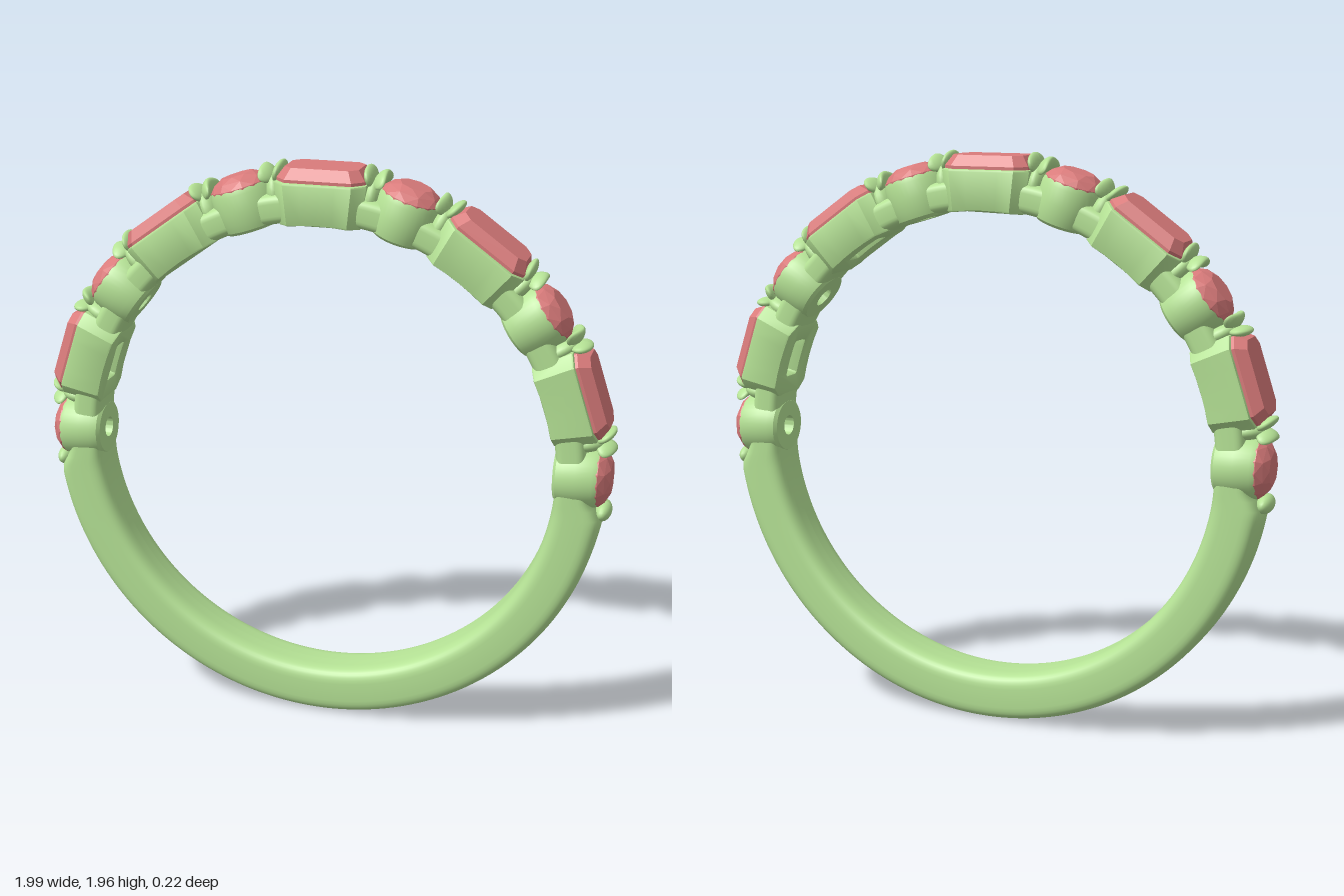
import * as THREE from 'three';
import { toCreasedNormals } from 'three/addons/utils/BufferGeometryUtils.js';
import { ConvexGeometry } from 'three/addons/geometries/ConvexGeometry.js';

const metal = new THREE.MeshStandardMaterial({ color: 0xb5e295 });
const gem = new THREE.MeshStandardMaterial({ color: 0xd97b7b });
const INNER = 0.8, OUTER = 0.967, STEP = 18;
const rad = THREE.MathUtils.degToRad;

// Applies fn(vector) to every vertex
function warp(geo, fn) {
  const p = geo.attributes.position, v = new THREE.Vector3();
  for (let i = 0; i < p.count; i++) {
    fn(v.fromBufferAttribute(p, i));
    p.setXYZ(i, v.x, v.y, v.z);
  }
  geo.computeVertexNormals();
  return geo;
}

// Arc of the band: rounded-square section swept from a0 to a1 (degrees clockwise from the top)
function bandArc(r0, r1, halfW, a0, a1, segs) {
  const pts = [], n = 40;
  const pow = (c) => Math.sign(c) * Math.pow(Math.abs(c), 0.5);
  for (let i = 0; i <= n; i++) {
    const t = Math.PI + (i / n) * Math.PI * 2;
    pts.push(new THREE.Vector2((r0 + r1) / 2 + pow(Math.cos(t)) * (r1 - r0) / 2, pow(Math.sin(t)) * halfW));
  }
  return new THREE.LatheGeometry(pts, segs, rad(a0), rad(a1 - a0)).rotateX(-Math.PI / 2);
}

// Rectangle outline with cut corners, with extra points along the long edges
function octagon(l, w, cut) {
  const xs = [-1, -0.5, 0, 0.5, 1].map((k) => k * (l - cut));
  return [
    ...xs.map((x) => new THREE.Vector2(x, -w)),
    new THREE.Vector2(l, -w + cut), new THREE.Vector2(l, w - cut),
    ...xs.reverse().map((x) => new THREE.Vector2(x, w)),
    new THREE.Vector2(-l, w - cut), new THREE.Vector2(-l, -w + cut),
  ];
}

// Box setting: hollow cut-corner block, its underside following the finger hole
function boxSettingGeometry() {
  const shape = new THREE.Shape(octagon(0.155, 0.11, 0.04));
  shape.holes.push(new THREE.Path(octagon(0.075, 0.035, 0.006).reverse()));
  const b = 0.008;
  const geo = new THREE.ExtrudeGeometry(shape, {
    depth: 0.135 - 2 * b, bevelThickness: b, bevelSize: b, bevelOffset: -b, bevelSegments: 2,
  });
  geo.rotateX(-Math.PI / 2).translate(0, INNER + b, 0);
  warp(geo, (v) => {
    if (v.y < 0.87) {
      v.x *= 0.88;
      v.y += Math.sqrt(INNER * INNER - v.x * v.x) - INNER;
    }
  });
  return toCreasedNormals(geo, 0.6);
}

// Round setting: cup with a drilled hole
function cupGeometry() {
  const pts = [[0.035, 0.93], [0.035, 0.795], [0.088, 0.795], [0.1, 0.805], [0.107, 0.83],
    [0.109, 0.87], [0.107, 0.925], [0.1, 0.942], [0.035, 0.93]].map((p) => new THREE.Vector2(...p));
  return toCreasedNormals(new THREE.LatheGeometry(pts, 40), 0.6);
}

// Step-cut stone from stacked cut-corner outlines: half length, half width, cut, height
function stepStoneGeometry() {
  const pts = [];
  for (const [l, w, c, y] of [[0.05, 0.012, 0.004, 0.85], [0.148, 0.097, 0.036, 0.93],
    [0.148, 0.097, 0.036, 0.945], [0.124, 0.073, 0.028, 0.98]]) {
    for (const sx of [-1, 1]) for (const sz of [-1, 1]) {
      pts.push(new THREE.Vector3(sx * l, y, sz * (w - c)), new THREE.Vector3(sx * (l - c), y, sz * w));
    }
  }
  return new ConvexGeometry(pts);
}

// Round brilliant stone from rings: radius, height, count, turn
function roundStoneGeometry() {
  const pts = [new THREE.Vector3(0, 0.85, 0)];
  for (const [r, y, n, turn] of [[0.102, 0.93, 16, 0], [0.102, 0.943, 16, 0],
    [0.084, 0.964, 8, 0.5], [0.055, 0.98, 8, 0]]) {
    for (let i = 0; i < n; i++) {
      const a = ((i + turn) / n) * Math.PI * 2;
      pts.push(new THREE.Vector3(r * Math.cos(a), y, r * Math.sin(a)));
    }
  }
  return new ConvexGeometry(pts);
}

// Oval claw; bend curls its ends along the band
function clawGeometry(rx, ry, rz, bend = 0) {
  const geo = new THREE.SphereGeometry(1, 20, 14).scale(rx, ry, rz);
  return warp(geo, (v) => { v.x += bend * v.z * v.z; });
}

export function createModel() {
  const ring = new THREE.Group();
  ring.name = 'ring';
  const body = new THREE.Group();
  body.name = 'ringBody';
  body.position.y = 0.968;
  ring.add(body);

  const add = (name, geo, mat, parent = body) => {
    const mesh = new THREE.Mesh(geo, mat);
    mesh.name = name;
    parent.add(mesh);
    return mesh;
  };
  // Group turned so that its +y points outward at the given angle
  const station = (name, deg) => {
    const g = new THREE.Group();
    g.name = name;
    g.rotation.z = -rad(deg);
    body.add(g);
    return g;
  };

  // Plain shank, thinned where it runs into the end cups
  const shank = bandArc(INNER, OUTER, 0.095, 92.5, 267.5, 96);
  warp(shank, (v) => {
    const r = Math.hypot(v.x, v.y);
    const fromSide = THREE.MathUtils.radToDeg(Math.asin(Math.min(1, -v.y / r)));
    const k = 1 - THREE.MathUtils.smoothstep(fromSide, 4, 9);
    const s = (r - k * 0.045 * (r - INNER) / (OUTER - INNER)) / r;
    v.x *= s;
    v.y *= s;
  });
  add('shank', shank, metal);

  // Alternating step-cut and round stones in their settings
  const boxSetting = boxSettingGeometry(), cup = cupGeometry();
  const stepStone = stepStoneGeometry(), roundStone = roundStoneGeometry();
  for (let k = -5; k <= 5; k++) {
    const even = k % 2 === 0;
    const g = station(even ? 'stepCutUnit' : 'roundUnit', k * STEP);
    add(even ? 'boxSetting' : 'cupSetting', even ? boxSetting : cup, metal, g);
    add(even ? 'stepCutStone' : 'roundStone', even ? stepStone : roundStone, gem, g);
  }

  // Bridges and paired claws on both sides of every step-cut stone
  for (let k = -4; k <= 4; k += 2) {
    for (const d of [-1, 1]) {
      const a = k * STEP;
      const ends = [a + d * 7.5, a + d * 14.5].sort((p, q) => p - q);
      add('bridge', bandArc(INNER, 0.905, 0.086, ends[0], ends[1], 6), metal);

      const post = add('clawPost', clawGeometry(0.035, 0.075, 0.07), metal, station('clawPostUnit', a + d * 10.3));
      post.position.y = 0.893;

      const inner = add('boxClaw', clawGeometry(0.017, 0.038, 0.066), metal, station('boxClawUnit', a + d * 9.2));
      inner.position.y = 0.966;
      inner.rotation.z = d * 0.4;

      const outer = add('roundClaw', clawGeometry(0.018, 0.036, 0.066, d * 5), metal, station('roundClawUnit', a + d * 11.2));
      outer.position.y = 0.966;
      outer.rotation.z = -d * 0.5;
    }
  }

  // Single bead holding the lower edge of each end stone
  for (const d of [-1, 1]) {
    const bead = add('endBead', clawGeometry(0.033, 0.028, 0.06), metal, station('endBeadUnit', d * 97));
    bead.position.y = 0.965;
  }
  return ring;
}
